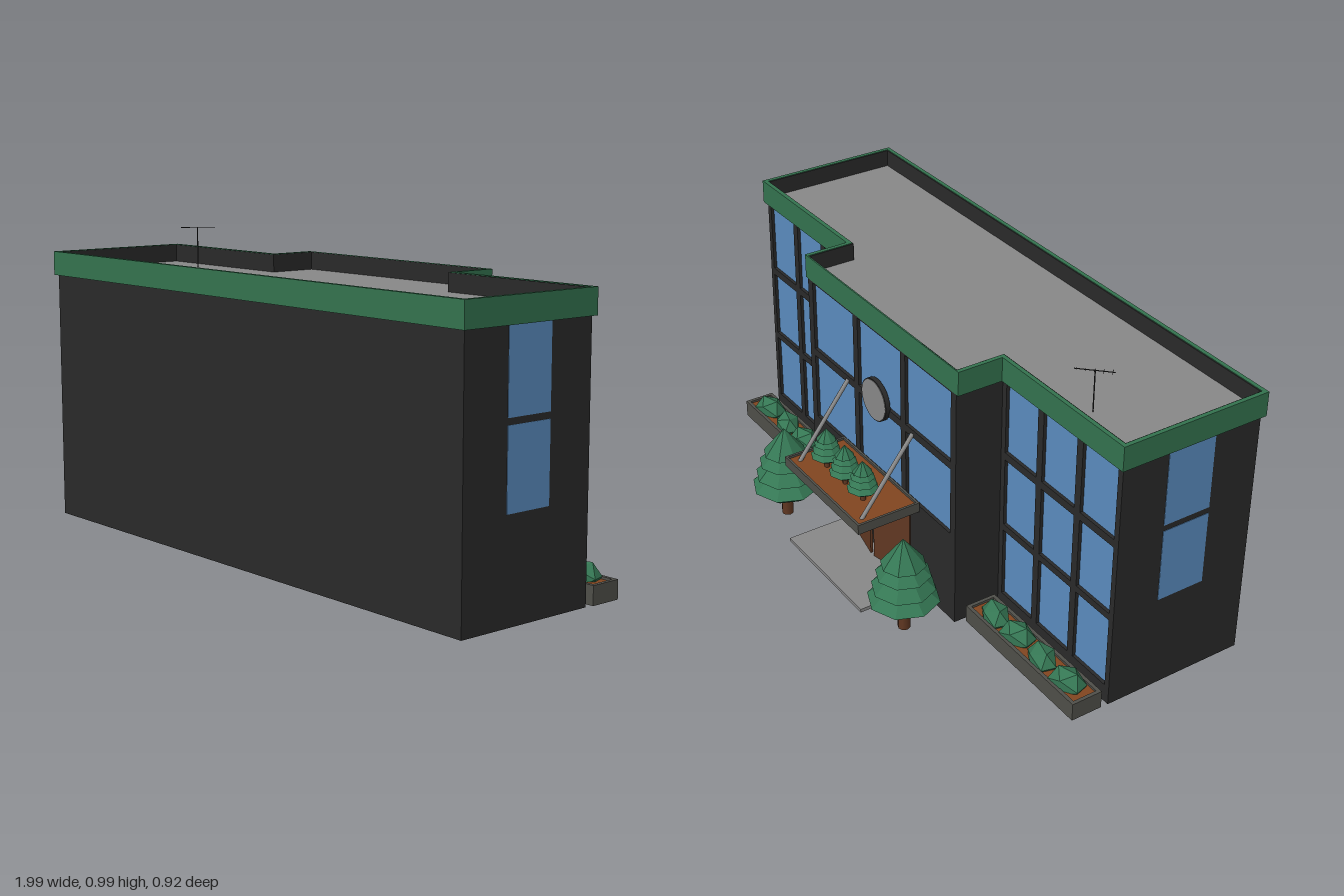
import * as THREE from 'three';

const mat = (name, color, flat = false) => {
  const m = new THREE.MeshStandardMaterial({ color, flatShading: flat });
  m.name = name;
  return m;
};

export function createModel() {
  const root = new THREE.Group();
  root.name = 'officeBuilding';
  const wall = mat('charcoal wall', 0x2a2a2a);
  const green = mat('green trim', 0x34734f);
  const leaf = mat('leaf green', 0x357754, true);
  const glass = mat('blue glass', 0x5b8dc0);
  const grey = mat('grey roof', 0x898989);
  const stone = mat('planter stone', 0x50504a);
  const soil = mat('brown soil', 0x824620);
  const wood = mat('dark wood', 0x613822);

  const add = (name, geo, material, x = 0, y = 0, z = 0, parent = root) => {
    const m = new THREE.Mesh(geo, material);
    m.name = name;
    m.position.set(x, y, z);
    parent.add(m);
    return m;
  };
  // box given by its minimum and maximum corners
  const box = (name, material, x0, x1, y0, y1, z0, z1, parent = root) =>
    add(name, new THREE.BoxGeometry(x1 - x0, y1 - y0, z1 - z0), material,
      (x0 + x1) / 2, (y0 + y1) / 2, (z0 + z1) / 2, parent);
  const rod = (name, material, a, b, r, sides = 6) => {
    const p = new THREE.Vector3(...a), q = new THREE.Vector3(...b);
    const m = add(name, new THREE.CylinderGeometry(r, r, p.distanceTo(q), sides), material);
    m.position.copy(p).lerp(q, 0.5);
    m.quaternion.setFromUnitVectors(new THREE.Vector3(0, 1, 0), q.sub(p).normalize());
  };

  // T-shaped floor plan, grown outwards by d; the back can be pulled in by inset
  const plan = (d, inset = 0) => {
    const X = 0.986 + d, B = 0.425 + d, f = 0.45 + d;
    const w = 0.04 + d - inset, b = 0.203 + Math.min(d, 0.001) - inset;
    return [[-X, -f], [X, -f], [X, w], [B, w], [B, b], [-B, b], [-B, w], [-X, w]]
      .map(([x, y]) => new THREE.Vector2(x, y));
  };
  const raise = (outline, hole, y0, y1) => {
    const s = new THREE.Shape(outline);
    if (hole) s.holes.push(new THREE.Path(hole));
    const g = new THREE.ExtrudeGeometry(s, { depth: y1 - y0, bevelEnabled: false });
    return g.rotateX(-Math.PI / 2).translate(0, y0, 0);
  };
  // hollow shell, open underneath
  const recess = 0.013;
  add('walls', raise(plan(0, recess), plan(-0.003, recess), 0, 0.84), wall);
  add('roof', raise(plan(-0.001), null, 0.835, 0.85), grey);
  add('trimBand', raise(plan(0.011), plan(-0.003), 0.83, 0.91), green);
  add('parapetLining', raise(plan(-0.002), plan(-0.006), 0.84, 0.908), wall);

  // back walls: a pierced panel in front of recessed glass
  const rows = [[0.06, 0.3], [0.323, 0.557], [0.583, 0.825]];
  const facade = (name, x0, x1, z, rowList, margin) => {
    const rect = (C, a, b, c, d) => new C([[a, c], [b, c], [b, d], [a, d]].map((p) => new THREE.Vector2(...p)));
    const s = rect(THREE.Shape, x0, x1, 0, 0.84);
    const gap = 0.027, w = (x1 - x0 - 2 * margin - 2 * gap) / 3;
    for (const [lo, hi] of rowList)
      for (let i = 0; i < 3; i++) {
        const l = x0 + margin + i * (w + gap);
        s.holes.push(rect(THREE.Path, l, l + w, lo, hi));
      }
    const g = new THREE.ExtrudeGeometry(s, { depth: recess, bevelEnabled: false });
    add(name + 'Frame', g, wall, 0, 0, z);
    box(name + 'Glass', glass, x0 + margin, x1 - margin, rowList[0][0], 0.825, z + recess - 0.002, z + recess + 0.001);
  };
  facade('rightWing', -0.986, -0.425, -0.04, rows, 0.02);
  facade('leftWing', 0.425, 0.986, -0.04, rows, 0.02);
  facade('centre', -0.425, 0.425, -0.203, rows.slice(1), 0.028);

  // end-wall windows
  for (const s of [-1, 1])
    for (const [lo, hi] of [[0.317, 0.56], [0.58, 0.83]])
      add('sideWindow', new THREE.BoxGeometry(0.003, hi - lo, 0.165), glass, s * 0.986, (lo + hi) / 2, 0.203);

  // stone frame filled with soil
  const planter = (name, x0, x1, y0, y1, z0, z1, t) => {
    const g = new THREE.Group();
    g.name = name;
    root.add(g);
    box('rimBack', stone, x0, x1, y0, y1, z0, z0 + t, g);
    box('rimFront', stone, x0, x1, y0, y1, z1 - t, z1, g);
    box('rimRight', stone, x0, x0 + t, y0, y1, z0 + t, z1 - t, g);
    box('rimLeft', stone, x1 - t, x1, y0, y1, z0 + t, z1 - t, g);
    box('soil', soil, x0 + t, x1 - t, y0 + 0.003, y1 - 0.008, z0 + t, z1 - t, g);
  };
  const bush = new THREE.IcosahedronGeometry(1, 0);
  for (const s of [-1, 1]) {
    planter('flowerBed', s < 0 ? -0.985 : 0.44, s < 0 ? -0.44 : 0.992, 0, 0.06, -0.17, -0.064, 0.012);
    [0.53, 0.645, 0.77, 0.895].forEach((x, i) => {
      const b = add('bush', bush, leaf, s * x, 0.06, -0.122);
      b.scale.set(0.064, i % 2 ? 0.052 : 0.048, 0.046);
      b.rotation.y = i % 2 ? 0.3 : -0.25;
    });
  }

  // tiered conifers
  const foliage = new THREE.LatheGeometry([
    [0, 0.09], [0.082, 0.09], [0.115, 0.115], [0.077, 0.149], [0.102, 0.159], [0.067, 0.195],
    [0.088, 0.207], [0.058, 0.235], [0.072, 0.243], [0, 0.335],
  ].map((p) => new THREE.Vector2(...p)), 8);
  const trunk = new THREE.CylinderGeometry(0.02, 0.02, 0.1, 8);
  const tree = (name, x, y, z, k) => {
    const g = new THREE.Group();
    g.name = name;
    add('foliage', foliage, leaf, 0, 0, 0, g);
    add('trunk', trunk, wood, 0, 0.05, 0, g);
    g.position.set(x, y, z);
    g.scale.setScalar(k);
    root.add(g);
  };
  for (const x of [-0.356, 0.376]) tree('tree', x, 0, -0.345, 1);

  // entrance: paving, doors left ajar, planted canopy and its stays
  box('paving', grey, -0.225, 0.225, 0, 0.012, -0.422, -0.2);
  for (const s of [-1, 1]) {
    const door = new THREE.Group();
    door.name = 'door';
    door.position.set(s * 0.174, 0, -0.203);
    door.rotation.y = -s * 0.2;
    root.add(door);
    add('doorLeaf', new THREE.BoxGeometry(0.168, 0.288, 0.008), wood, -s * 0.084, 0.156, 0, door);
    add('doorHandle', new THREE.SphereGeometry(0.007, 8, 6), wall, -s * 0.152, 0.153, -0.007, door);
    rod('canopyStay', grey, [s * 0.19, 0.57, -0.202], [s * 0.19, 0.325, -0.39], 0.007, 8);
  }
  planter('canopy', -0.227, 0.225, 0.302, 0.336, -0.424, -0.203, 0.008);
  for (const x of [-0.105, 0.002, 0.115]) tree('canopyTree', x, 0.32, -0.332, 0.45);

  // round wall disc
  const disc = new THREE.CylinderGeometry(0.072, 0.072, 0.016, 24).rotateX(Math.PI / 2);
  add('discRim', disc, wall, 0.012, 0.59, -0.208);
  const face = new THREE.CylinderGeometry(0.068, 0.068, 0.002, 24).rotateX(Math.PI / 2);
  add('discFace', face, grey, 0.012, 0.59, -0.2162);

  // roof aerial
  rod('aerialMast', wall, [-0.737, 0.845, 0.047], [-0.737, 0.987, 0.047], 0.002);
  rod('aerialBoom', wall, [-0.777, 0.985, 0.087], [-0.695, 0.985, 0.005], 0.0015);
  for (let i = 0; i < 5; i++) {
    const x = -0.772 + i * 0.018, z = 0.082 - i * 0.018, h = 0.009 - i * 0.0015;
    rod('aerialElement', wall, [x - h, 0.985, z - h], [x + h, 0.985, z + h], 0.001, 4);
  }
  return root;
}
